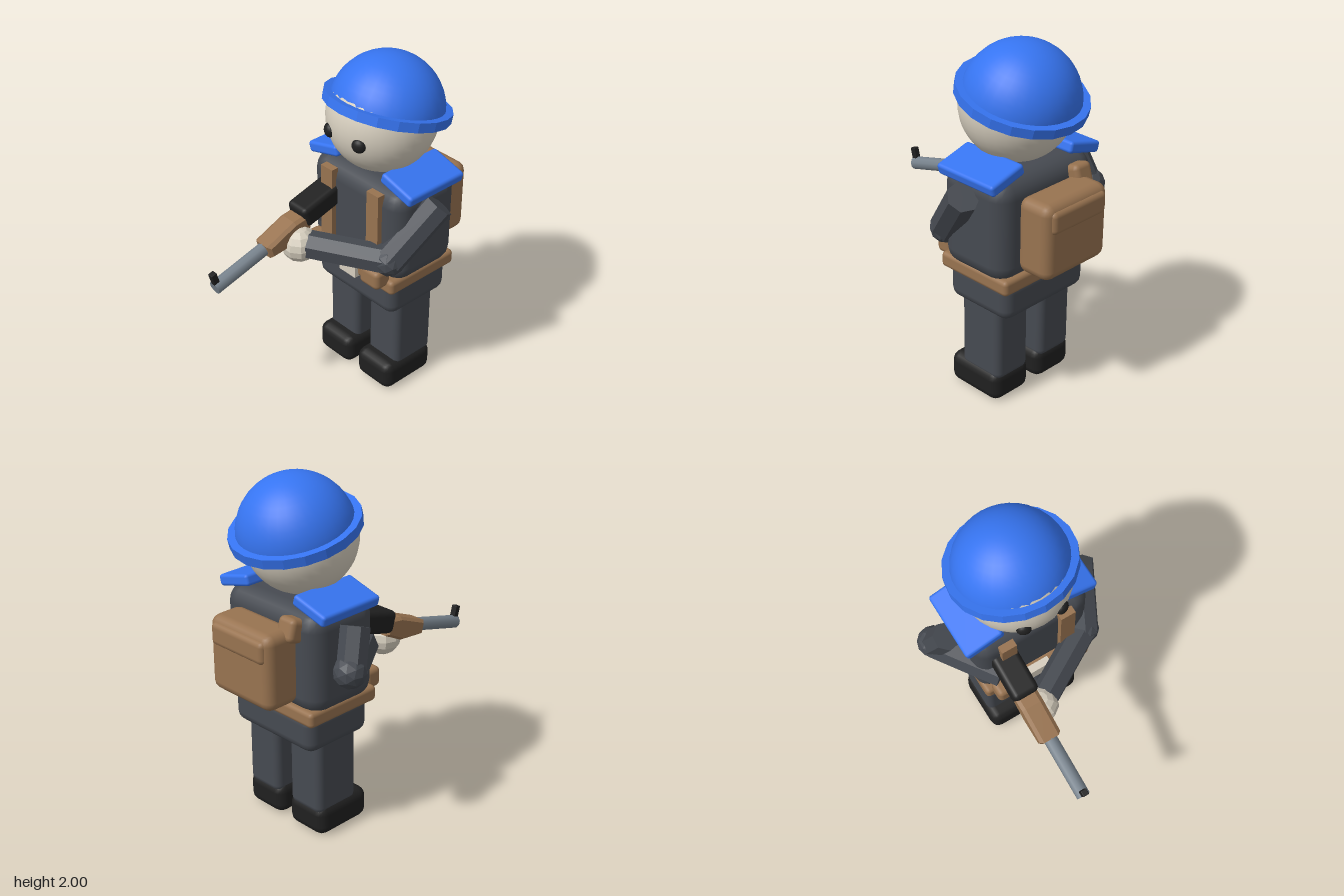
import * as THREE from 'three';
import { RoundedBoxGeometry } from 'three/addons/geometries/RoundedBoxGeometry.js';

const paint = (color, extra = {}) => new THREE.MeshStandardMaterial({ color, ...extra });
const CLOTH = paint(0x464a51), BLACK = paint(0x202020), LEATHER = paint(0x987350);
const SKIN = paint(0xd6cebe), BLUE = paint(0x3674f0), STEEL = paint(0x77828c);
const CLOTH_FLAT = paint(0x464a51, { flatShading: true });
const SKIN_FLAT = paint(0xd6cebe, { flatShading: true });
const BLUE_FLAT = paint(0x3674f0, { flatShading: true });

const CX = 0.028; // the figure's own centre line
const TILT = 0.265; // helmet and rifle slope

export function createModel() {
  const model = new THREE.Group();
  model.name = 'soldier';

  const add = (name, geometry, material, [x, y, z], parent = model) => {
    const mesh = new THREE.Mesh(geometry, material);
    mesh.name = name;
    mesh.position.set(x, y, z);
    parent.add(mesh);
    return mesh;
  };
  const box = (name, [w, h, d], r, material, at, parent) =>
    add(name, new RoundedBoxGeometry(w, h, d, 2, r), material, at, parent);
  // Faceted limb running between two points
  const limb = (name, from, to, r) => {
    const a = new THREE.Vector3(...from), b = new THREE.Vector3(...to);
    const mesh = add(name, new THREE.CylinderGeometry(r, r, a.distanceTo(b), 7), CLOTH_FLAT,
      a.clone().lerp(b, 0.5).toArray());
    mesh.quaternion.setFromUnitVectors(new THREE.Vector3(0, 1, 0), b.sub(a).normalize());
  };

  // Torso, hips and belt
  box('torso', [0.71, 0.58, 0.46], 0.1, CLOTH, [CX, 1.075, -0.31]);
  box('hips', [0.615, 0.22, 0.44], 0.06, CLOTH, [CX, 0.665, -0.31]);
  box('belt', [0.67, 0.09, 0.49], 0.025, LEATHER, [CX, 0.78, -0.305]);
  add('buckle', new THREE.BoxGeometry(0.13, 0.09, 0.045), SKIN, [CX + 0.004, 0.78, -0.058]);

  // Mirrored parts
  for (const s of [-1, 1]) {
    box('leg', [0.238, 0.48, 0.285], 0.04, CLOTH, [CX + s * 0.166, 0.38, -0.307]);
    box('boot', [0.27, 0.182, 0.365], 0.055, BLACK, [CX + s * 0.164, 0.093, -0.265]);
    box('beltPouch', [0.148, 0.118, 0.11], 0.03, LEATHER, [CX + s * 0.222, 0.842, -0.04]);
    add('strap', new THREE.BoxGeometry(0.09, 0.5, 0.045), LEATHER, [CX + s * 0.182, 1.09, -0.072]);
    const pad = box('shoulderPad', [0.235, 0.065, 0.405], 0.018, BLUE, [CX + s * 0.287, 1.383, -0.316]);
    pad.rotation.z = -s * 0.27;
    const eye = add('eye', new THREE.SphereGeometry(0.04, 16, 12), BLACK, [CX + s * 0.114, 1.62, -0.012]);
    eye.scale.z = 0.7;
    eye.rotation.y = s * 0.38;
  }

  // Head and helmet
  add('head', new THREE.SphereGeometry(0.306, 32, 24), SKIN, [CX, 1.655, -0.29]);
  const helmet = new THREE.Group();
  helmet.name = 'helmet';
  helmet.position.set(CX, 1.71, -0.327);
  helmet.rotation.x = -TILT;
  model.add(helmet);
  add('dome', new THREE.SphereGeometry(0.317, 32, 12, 0, Math.PI * 2, 0, Math.PI / 2), BLUE, [0, -0.026, 0], helmet);
  add('brim', new THREE.CylinderGeometry(0.354, 0.354, 0.054, 20), BLUE_FLAT, [0, 0, 0], helmet);

  // Backpack
  box('backpack', [0.463, 0.43, 0.22], 0.055, LEATHER, [CX + 0.003, 1.065, -0.63]);
  box('backpackFlap', [0.4, 0.13, 0.1], 0.03, LEATHER, [CX + 0.003, 1.185, -0.705]);
  const side = box('sidePouch', [0.12, 0.13, 0.11], 0.03, LEATHER, [-0.17, 1.27, -0.55]);
  side.rotation.x = 0.3;

  // Left arm reaching across to support the rifle
  limb('leftUpperArm', [0.44, 1.27, -0.32], [0.33, 0.965, -0.07], 0.088);
  limb('leftForearm', [0.33, 0.965, -0.07], [-0.06, 0.975, 0.16], 0.082);
  add('leftElbow', new THREE.IcosahedronGeometry(0.088, 1), CLOTH_FLAT, [0.33, 0.965, -0.07]);
  add('leftHand', new THREE.SphereGeometry(0.103, 10, 8), SKIN_FLAT, [-0.11, 0.97, 0.188]);

  // Right arm bent back, its forearm tucked in beside the rifle grip
  limb('rightUpperArm', [-0.39, 1.28, -0.31], [-0.44, 1.07, -0.39], 0.08);
  limb('rightForearm', [-0.44, 1.07, -0.39], [-0.2, 1.03, -0.06], 0.085);
  add('rightElbow', new THREE.IcosahedronGeometry(0.09, 1), CLOTH_FLAT, [-0.44, 1.07, -0.4]);

  // Rifle, built along +z and then sloped muzzle down
  const rifle = new THREE.Group();
  rifle.name = 'rifle';
  rifle.position.set(-0.172, 1.035, 0.255);
  rifle.rotation.x = TILT;
  model.add(rifle);
  const barrel = add('barrel', new THREE.CylinderGeometry(0.039, 0.039, 0.4, 10), STEEL, [0, 0, 0.295], rifle);
  barrel.rotation.x = Math.PI / 2;
  box('frontSight', [0.035, 0.075, 0.035], 0.004, BLACK, [0, 0.06, 0.478], rifle);
  // Handguard: side profile with a chamfered nose, bevelled all round
  const profile = new THREE.Shape([[-0.14, -0.03], [-0.02, -0.055], [0.13, -0.03], [0.13, 0.025],
    [-0.06, 0.05], [-0.14, 0.04]].map(([z, y]) => new THREE.Vector2(z, y)));
  const guard = new THREE.ExtrudeGeometry(profile, {
    depth: 0.09, bevelThickness: 0.02, bevelSize: 0.015, bevelSegments: 1,
  });
  guard.translate(0, 0, -0.045).rotateY(-Math.PI / 2);
  add('handguard', guard, LEATHER, [0, 0, 0], rifle);
  box('receiver', [0.152, 0.13, 0.28], 0.03, BLACK, [0, 0.04, -0.26], rifle);

  return model;
}
